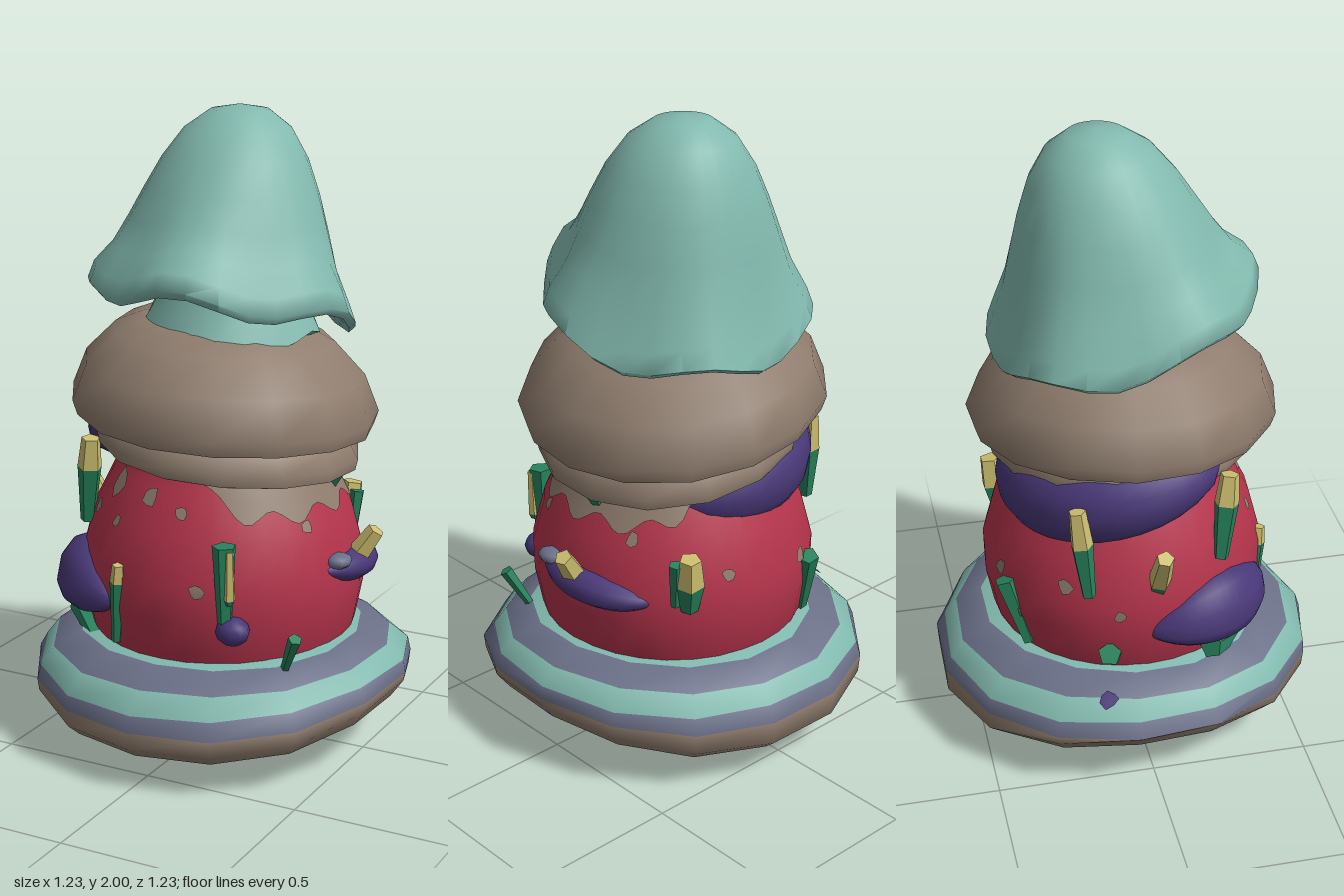
import * as THREE from 'three';
import { toCreasedNormals } from 'three/addons/utils/BufferGeometryUtils.js';

function mat(name, color) {
  const m = new THREE.MeshStandardMaterial({ color });
  m.name = name;
  return m;
}

// Linear lookup in a list of [key, value] pairs
function lookup(pairs, k) {
  let i = 0;
  while (i < pairs.length - 2 && k > pairs[i + 1][0]) i++;
  const [[k0, v0], [k1, v1]] = [pairs[i], pairs[i + 1]];
  return v0 + (v1 - v0) * Math.min(1, Math.max(0, (k - k0) / (k1 - k0)));
}

// Surface from rows of points; fn(i, j) gives a point, one geometry group per row
function grid(nu, nv, fn, crease = 0.9) {
  const pos = [], idx = [];
  for (let j = 0; j <= nv; j++) for (let i = 0; i <= nu; i++) pos.push(...fn(i, j));
  const g = new THREE.BufferGeometry();
  for (let j = 0; j < nv; j++) {
    for (let i = 0; i < nu; i++) {
      const a = j * (nu + 1) + i, b = a + 1, c = a + nu + 1, d = c + 1;
      idx.push(a, b, d, a, d, c);
    }
    g.addGroup(j * nu * 6, nu * 6, j);
  }
  g.setAttribute('position', new THREE.Float32BufferAttribute(pos, 3));
  g.setIndex(idx);
  return toCreasedNormals(g, crease);
}

// Turned shape whose points are moved by a rule; profile runs from bottom to top
function turned(profile, n, rule = (x, y, z) => [x, y, z], crease) {
  return grid(n, profile.length - 1, (i, j) => {
    const a = ((i % n) / n) * Math.PI * 2, [r, y] = profile[j];
    return rule(r * Math.sin(a), y, r * Math.cos(a), a, r, j);
  }, crease);
}

export function createModel() {
  const model = new THREE.Group();
  const teal = mat('teal', 0x82b9ae), brown = mat('brown', 0x8f7d6e), red = mat('red', 0xb5344c);
  const slate = mat('slate', 0x6b7088), purple = mat('purple', 0x493878);
  const green = mat('green', 0x27835d), yellow = mat('yellow', 0xcdbf70);

  function add(name, geo, material, parent = model) {
    if (!Array.isArray(material)) geo.clearGroups();
    const m = new THREE.Mesh(geo, material);
    m.name = name;
    parent.add(m);
    return m;
  }

  // Wavy banded base: hollow behind the rim below, curled up at both sides
  const under = [[0, 0.02], [0.12, 0.03], [0.27, 0.095], [0.38, 0.135], [0.46, 0.15], [0.52, 0.125], [0.565, 0.1]];
  const top = [[0.36, 0.37], [0.45, 0.35], [0.54, 0.3], [0.59, 0.24]];
  const baseProfile = [...under, [0.605, 0.135], [0.61, 0.19], ...[...top].reverse()];
  const curl = (x) => Math.abs(x / 0.6) ** 4;
  const lowLift = (x) => 0.09 * curl(x);
  const topLift = (x) => (x > 0 ? 0.06 : 0.035) * curl(x);
  add('base', turned(baseProfile, 15, (x, y, z, a, r, j) => {
    const w = 1 + (j > 8 || (j > 2 && j < 6) ? 0.02 * Math.sin(3 * a + j) : 0.01 * Math.sin(2 * a));
    return [x * w * 1.01, y + (j < 8 ? lowLift(x) : topLift(x)) + (j > 7 && z < 0 ? 0.06 * z * z : 0), z * w * 1.02];
  }), [slate, slate, slate, slate, teal, slate, brown, brown, slate, teal, slate, teal]);

  // Barrel body
  const bodyProfile = [[0.3, 0.39], [0.38, 0.425], [0.5, 0.448], [0.6, 0.45], [0.75, 0.41], [0.88, 0.345], [0.96, 0.3], [1.05, 0.28]];
  const onBody = (a, y) => {
    const r = lookup(bodyProfile, y) + 0.006;
    return [r * Math.sin(a), y, r * Math.cos(a)];
  };
  add('body', turned(bodyProfile.map(([y, r]) => [r, y]), 32), red);

  // Ragged brown collar running down the right of the body
  add('collar', grid(36, 8, (i, j) => {
    const a = 0.32 + (i / 36) * 2.3;
    const low = 0.8 + 0.022 * Math.sin(i * 0.9) + 0.1 * (Math.abs(i - 18) / 18) ** 6;
    return onBody(a, low + (0.99 - low) * (j / 8));
  }), brown);

  // Irregular flat spots laid on a surface
  function spot(name, point, a, b, sa, sb, material, parent) {
    add(name, grid(7, 1, (i, j) => {
      const p = ((i % 7) / 7) * Math.PI * 2, s = j ? 0 : 1 + 0.2 * Math.sin((i % 7) * 2.3 + a * 5);
      return point(a + Math.cos(p) * sa * s, b + Math.sin(p) * sb * s);
    }), material, parent);
  }
  const spots = new THREE.Group();
  spots.name = 'bodySpots';
  model.add(spots);
  for (const [a, y, s] of [[-0.6, 0.86, 0.042], [-0.17, 0.85, 0.03], [0.14, 0.82, 0.02], [-0.44, 0.76, 0.018],
    [0.3, 0.6, 0.022], [-0.8, 0.77, 0.022], [1.15, 0.765, 0.02], [2.1, 0.77, 0.022],
    [2.8, 0.66, 0.02], [3.5, 0.62, 0.024], [3.7, 0.5, 0.018], [4.1, 0.66, 0.024], [4.5, 0.58, 0.02]]) {
    spot('bodySpot', onBody, a, y, s / 0.42, s, brown, spots);
  }

  // Teal flecks beneath the base and a purple speck on its top
  const flecks = new THREE.Group();
  flecks.name = 'baseFlecks';
  model.add(flecks);
  const onBase = (pairs, lift, off) => (a, r) => {
    const x = r * Math.sin(a);
    return [x, lookup(pairs, r) + lift(x) + off, r * Math.cos(a)];
  };
  for (const [a, r] of [[0.5, 0.34], [1.3, 0.33], [2.2, 0.33], [2.9, 0.25], [3.6, 0.34], [4.4, 0.27], [5.3, 0.33]]) {
    spot('fleck', onBase(under, lowLift, -0.009), a, r, 0.15, 0.04, teal, flecks);
  }
  spot('speck', onBase(top, topLift, 0.01), -1.85, 0.54, 0.06, -0.022, purple, flecks);

  // Two drooping brims, lower toward +x
  const tilt = (k, cx, wob) => (x, y, z, a) => {
    const w = 1 + wob * Math.sin(3 * a + 1);
    return [x * w + cx, y - k * x + 0.008 * Math.sin(2 * a), z * w * 1.01];
  };
  add('lowerBrim', turned([[0.27, 0.94], [0.37, 0.92], [0.41, 0.935], [0.418, 0.97], [0.39, 1.02], [0.34, 1.06], [0.26, 1.08]],
    14, tilt(0.12, 0.015, 0.012)), brown);
  add('upperBrim', turned([[0.25, 1.08], [0.41, 1.035], [0.47, 1.04], [0.485, 1.085], [0.44, 1.2], [0.345, 1.3], [0.25, 1.345], [0, 1.35]],
    15, tilt(0.09, 0, 0.012)), brown);

  // Neck with a scalloped hem
  add('neck', turned([[0.2, 1.29], [0.28, 1.31], [0.245, 1.39], [0.2, 1.48], [0.17, 1.6]], 20,
    (x, y, z, a, r, j) => [x + 0.02, y + (j === 1 ? 0.02 * Math.sin(5 * a) : 0), z - 0.01]), teal);

  // Bell hat: thick curled rim, higher in front, apex set back
  const hatProfile = [[0.16, 1.52], [0.27, 1.47], [0.35, 1.4], [0.395, 1.375], [0.415, 1.395], [0.395, 1.45], [0.345, 1.54],
    [0.308, 1.64], [0.27, 1.74], [0.225, 1.84], [0.165, 1.93], [0.09, 1.985], [0, 2]];
  add('hat', turned(hatProfile, 28, (x, y, z, a, r) => {
    const d = Math.min(1, (2 - y) / 0.55), up = 1 - d;
    const fold = 1 + d * d * (0.035 * Math.sin(5 * a + 0.6) + 0.02 * Math.cos(3 * a));
    const wave = 0.028 * Math.sin(5 * a + 0.9) * Math.min(1, r / 0.35);
    return [x * fold + 0.02 * up, y + d * d * (0.21 * z - 0.03 * x + wave), z * fold - 0.07 * up];
  }, 1.2), teal);

  // Purple crescents hugging the body; shape(t) gives path radius, height, depth, drop and rise
  function crescent(name, a0, a1, power, shape) {
    add(name, grid(20, 12, (i, j) => {
      const t = i / 20, a = a0 + t * (a1 - a0), p = ((j % 12) / 12) * Math.PI * 2;
      const s = i % 20 ? Math.sin(Math.PI * t) ** power : 0, [r0, y0, depth, drop, rise] = shape(t);
      const r = r0 + depth * s * Math.cos(p);
      return [r * Math.sin(a), y0 + (j > 6 ? drop : rise) * s * Math.sin(p), r * Math.cos(a)];
    }), purple);
  }
  crescent('backCrescent', 2.4, 5.4, 0.5, (t) => [0.32 + 0.07 * t, 0.87 + 0.14 * t * t, 0.08 + 0.01 * t, 0.13, 0.12]);
  crescent('frontLobe', -1.6, -0.38, 0.7, () => [0.43, 0.5, 0.105, 0.085, 0.145]);
  crescent('sideLobe', 1.24, 2.3, 0.6, (t) => [0.42, 0.615 - 0.04 * t, 0.08, 0.06, 0.055]);
  add('sideLobeEnd', new THREE.SphereGeometry(1, 8, 6).scale(0.04, 0.024, 0.05).translate(0.44, 0.64, 0.075), slate);
  add('smallLobe', new THREE.SphereGeometry(1, 10, 6).scale(0.055, 0.045, 0.05).translate(0.235, 0.48, 0.39), purple);

  // Green shards with yellow tips: start, end, radius, tip share
  function shard(p, q, r, tip) {
    const g = new THREE.Group(), from = new THREE.Vector3(...p), dir = new THREE.Vector3(...q).sub(from);
    const len = dir.length(), low = len * (1 - tip);
    g.name = 'shard';
    g.position.copy(from);
    g.quaternion.setFromUnitVectors(new THREE.Vector3(0, 1, 0), dir.normalize());
    const stem = new THREE.CylinderGeometry(r, r * 0.6, low, 5).translate(0, low / 2, 0);
    add('shardStem', toCreasedNormals(stem, 0.4), green, g);
    if (tip > 0) {
      const end = new THREE.CylinderGeometry(r * 0.75, r, len * tip, 5).translate(0, low + len * tip / 2, 0);
      add('shardTip', toCreasedNormals(end, 0.4), yellow, g);
    }
    model.add(g);
  }
  shard([0.215, 0.5, 0.4], [0.215, 0.75, 0.405], 0.038, 0);
  shard([0.238, 0.57, 0.415], [0.24, 0.74, 0.42], 0.018, 0.9);
  shard([0.25, 0.36, 0.3], [0.22, 0.5, 0.38], 0.018, 0);
  shard([-0.165, 0.38, 0.4], [-0.14, 0.64, 0.425], 0.026, 0.22);
  shard([-0.36, 0.7, 0.24], [-0.325, 0.98, 0.27], 0.04, 0.35);
  shard([-0.38, 0.6, 0.03], [-0.5, 0.82, 0.03], 0.037, 0.6);
  shard([-0.42, 0.66, -0.19], [-0.4, 0.96, -0.22], 0.036, 0.4);
  shard([-0.24, 0.38, -0.35], [-0.2, 0.6, -0.415], 0.036, 0);
  shard([-0.31, 0.33, -0.08], [-0.44, 0.44, -0.13], 0.038, 0);
  shard([-0.28, 0.33, 0.32], [-0.42, 0.4, 0.2], 0.038, 0);
  shard([0.26, 0.56, -0.36], [0.28, 0.75, -0.385], 0.046, 0.5);
  shard([0.3, 0.58, -0.34], [0.31, 0.73, -0.355], 0.024, 0);
  shard([0.42, 0.58, -0.04], [0.505, 0.71, -0.06], 0.038, 0.65);
  shard([0.34, 0.82, -0.05], [0.38, 0.91, -0.05], 0.03, 0.3);
  shard([0.36, 0.34, 0.29], [0.42, 0.47, 0.34], 0.022, 0);

  // Root cluster beneath the base: leaves spread toward +x, lumps in the middle
  const root = new THREE.Group();
  root.name = 'rootCluster';
  model.add(root);
  for (const [x, y, z, sx, sy, sz, m] of [[0.24, 0.095, 0.09, 0.09, 0.045, 0.045, green], [0.25, 0.1, 0.02, 0.09, 0.045, 0.04, green],
    [-0.03, 0.045, -0.02, 0.08, 0.04, 0.05, green], [0.16, 0.065, 0.09, 0.06, 0.04, 0.06, green],
    [0.2, 0.05, 0, 0.05, 0.04, 0.035, teal], [0.14, 0.045, 0.06, 0.045, 0.036, 0.04, teal],
    [0.08, 0.04, 0.03, 0.05, 0.036, 0.06, red], [0.14, 0.05, -0.07, 0.07, 0.042, 0.04, red],
    [0.06, 0.035, -0.05, 0.06, 0.033, 0.06, brown], [0.12, 0.04, -0.01, 0.055, 0.036, 0.045, brown]]) {
    add('rootLump', new THREE.SphereGeometry(1, 8, 6).scale(sx, sy, sz).translate(x, y, z), m, root);
  }
  return model;
}
